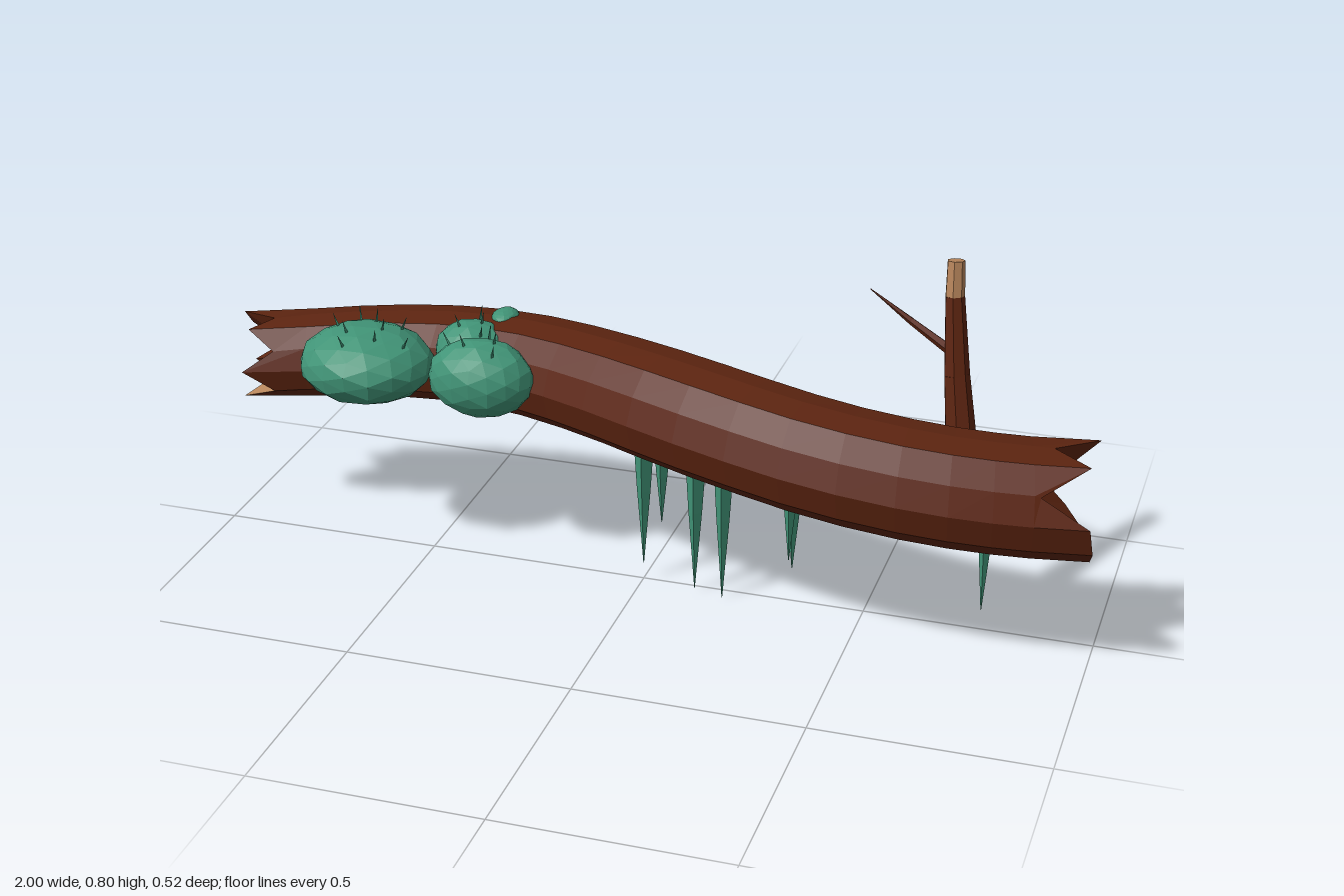
import * as THREE from 'three';

const bark = new THREE.MeshStandardMaterial({ name: 'bark brown', color: 0x5c2410 });
const wood = new THREE.MeshStandardMaterial({ name: 'bare wood tan', color: 0xb5845a });
const moss = new THREE.MeshStandardMaterial({ name: 'moss green', color: 0x419477 });

const V = (x, y, z) => new THREE.Vector3(x, y, z);

// Splits shared corners so that every face is shaded flat
function flat(geometry) {
  const g = geometry.index ? geometry.toNonIndexed() : geometry;
  g.computeVertexNormals();
  return g;
}

function add(group, name, geometry, material) {
  const mesh = new THREE.Mesh(flat(geometry), material);
  mesh.name = name;
  group.add(mesh);
  return mesh;
}

// Tapered rod between two points
function rod(group, name, from, to, r0, r1, sides, material) {
  const dir = to.clone().sub(from);
  const mesh = add(group, name, new THREE.CylinderGeometry(r1, r0, dir.length(), sides), material);
  mesh.position.copy(from).add(to).multiplyScalar(0.5);
  mesh.quaternion.setFromUnitVectors(V(0, 1, 0), dir.normalize());
  return mesh;
}

function triangles(points) {
  return new THREE.BufferGeometry().setFromPoints(points);
}

// Curved trunk with splintered, hollowed ends
function addTrunk(group) {
  const path = new THREE.CatmullRomCurve3([
    V(-0.93, 0.38, -0.09), V(-0.75, 0.395, -0.132), V(-0.55, 0.413, -0.148), V(-0.35, 0.43, -0.118),
    V(-0.15, 0.438, -0.055), V(0.05, 0.439, 0.025), V(0.25, 0.43, 0.092), V(0.45, 0.412, 0.13),
    V(0.65, 0.393, 0.132), V(0.8, 0.38, 0.11), V(0.93, 0.372, 0.08),
  ]);
  const sides = 12, steps = 18;
  const ridge = [1.02, 0.98, 1.03, 0.98, 1.04, 0.97, 1.01, 1.02, 0.97, 1.02, 0.99, 1.03];
  const leftJag = [0.04, -0.03, 0.03, -0.02, 0.06, 0.05, -0.03, 0.05, -0.02, 0.05, 0.05, -0.03];
  const rightJag = [0.04, -0.06, 0.04, -0.03, 0.07, 0.0, -0.05, 0.01, 0.05, 0.04, 0.05, 0.05];

  const rings = [];
  for (let i = 0; i <= steps; i++) {
    const t = i / steps;
    const center = path.getPoint(t);
    const along = path.getTangent(t).setY(0).normalize();
    const across = V(-along.z, 0, along.x);
    const radius = 0.098 + 0.028 * Math.min(1, t * 1.9);
    rings.push(ridge.map((k, j) => {
      const a = (j / sides) * Math.PI * 2;
      const shift = i === 0 ? -leftJag[j] : i === steps ? rightJag[j] : 0;
      return center.clone()
        .addScaledVector(across, radius * k * Math.cos(a))
        .addScaledVector(along, shift)
        .add(V(0, radius * k * Math.sin(a) * 0.97, 0));
    }));
  }

  const side = [];
  for (let i = 0; i < steps; i++) {
    for (let j = 0; j < sides; j++) {
      const n = (j + 1) % sides;
      const a = rings[i][j], b = rings[i + 1][j], c = rings[i + 1][n], d = rings[i][n];
      side.push(a, b, c, a, c, d);
    }
  }
  add(group, 'trunk', triangles(side), bark);

  // Broken ends: a fan to a recessed middle, with one wedge of bare wood
  const ends = [
    ['left', rings[steps], path.getPoint(1).add(V(-0.08, 0, 0.01)), 4, true],
    ['right', rings[0], path.getPoint(0).add(V(0.08, 0, -0.02)), 10, false],
  ];
  for (const [label, rim, middle, bare, flip] of ends) {
    const dark = [], light = [];
    rim.forEach((p, j) => {
      const q = rim[(j + 1) % sides];
      (j === bare ? light : dark).push(middle, ...(flip ? [q, p] : [p, q]));
    });
    add(group, label + 'BrokenEnd', triangles(dark), bark);
    add(group, label + 'BareWood', triangles(light), wood);
  }
}

// Upright branch with a snapped tip and a twig, and a mossy stub behind
function addBranches(group) {
  const base = V(0.69, 0.38, -0.035), bend = V(0.665, 0.56, -0.062);
  const cut = V(0.648, 0.725, -0.087), tip = V(0.645, 0.8, -0.098);
  rod(group, 'branchBase', base, bend, 0.036, 0.028, 7, bark);
  rod(group, 'branch', bend, cut, 0.028, 0.021, 7, bark);
  rod(group, 'branchBareTip', cut, tip, 0.021, 0.019, 7, wood);
  rod(group, 'twig', V(0.655, 0.605, -0.07), V(0.56, 0.66, -0.082), 0.012, 0.008, 5, bark);
  rod(group, 'twigTip', V(0.56, 0.66, -0.082), V(0.47, 0.72, -0.085), 0.008, 0.001, 5, bark);
  rod(group, 'stub', V(0.02, 0.4, -0.06), V(0.035, 0.405, -0.125), 0.03, 0.026, 6, bark);
  const cap = add(group, 'stubMoss', new THREE.IcosahedronGeometry(1, 0), moss);
  cap.position.set(0.033, 0.423, -0.112);
  cap.scale.set(0.04, 0.016, 0.022);
}

// Clumps of moss with fine blades on top
function addMoss(group) {
  const clumps = [
    [-0.63, 0.455, 0.032, 0.152, 0.085, 0.135, 9],
    [-0.36, 0.455, 0.035, 0.12, 0.088, 0.085, 5],
    [-0.415, 0.475, -0.06, 0.085, 0.068, 0.075, 4],
    [-0.365, 0.53, -0.135, 0.03, 0.018, 0.04, 0],
  ];
  for (const [x, y, z, rx, ry, rz, blades] of clumps) {
    const geometry = new THREE.IcosahedronGeometry(1, 2);
    const p = geometry.attributes.position;
    const v = V(0, 0, 0);
    for (let i = 0; i < p.count; i++) {
      v.fromBufferAttribute(p, i);
      v.multiplyScalar(1 + 0.035 * Math.sin(7 * v.x + 3 * v.y) * Math.cos(6 * v.z - 2 * v.y));
      p.setXYZ(i, v.x, v.y, v.z);
    }
    const clump = add(group, 'mossClump', geometry, moss);
    clump.position.set(x, y, z);
    clump.scale.set(rx, ry, rz);
    for (let k = 0; k < blades; k++) {
      const a = k * 2.4, s = 0.25 + 0.5 * (k / blades);
      const dir = V(s * Math.cos(a), Math.sqrt(1 - s * s), s * Math.sin(a));
      const root = V(x + rx * dir.x, y + ry * dir.y * 0.95, z + rz * dir.z);
      const end = root.clone().add(V(dir.x * 0.025, 0.03, dir.z * 0.025));
      rod(group, 'mossBlade', root, end, 0.004, 0.0005, 3, moss);
    }
  }
}

// Hanging moss spikes: x, z, top, tip, radius
function addSpikes(group) {
  const spikes = [
    [0.003, 0.01, 0.37, 0.045, 0.025], [0.046, 0.015, 0.36, 0.155, 0.02],
    [0.125, 0.025, 0.35, 0.01, 0.025], [0.19, 0.033, 0.35, 0.0, 0.024],
    [0.327, -0.045, 0.38, 0.055, 0.029], [0.335, 0.02, 0.35, 0.11, 0.022],
    [0.757, 0.005, 0.36, 0.05, 0.023],
  ];
  for (const [x, z, top, tip, r] of spikes) {
    const mid = top - (top - tip) * 0.45;
    rod(group, 'hangingSpikeTop', V(x, mid, z), V(x, top, z), r * 0.62, r, 4, moss);
    rod(group, 'hangingSpikeTip', V(x, tip, z), V(x, mid, z), 0.0008, r * 0.62, 4, moss);
  }
}

export function createModel() {
  const model = new THREE.Group();
  model.name = 'mossyLog';
  addTrunk(model);
  addBranches(model);
  addMoss(model);
  addSpikes(model);
  return model;
}
